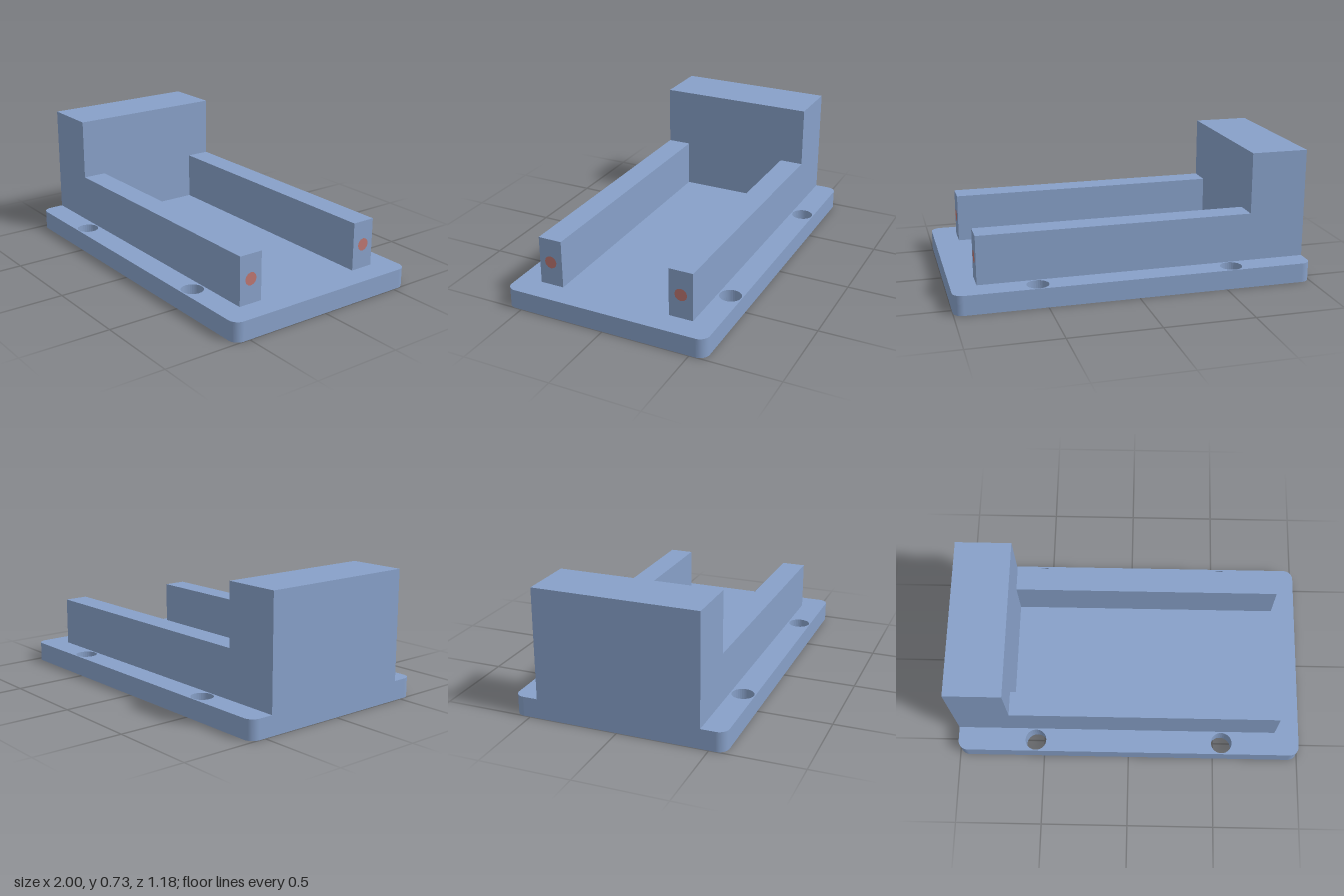
import * as THREE from 'three';

const blue = new THREE.MeshStandardMaterial({ name: 'steel blue', color: 0x87a0c8 });
const red = new THREE.MeshStandardMaterial({ name: 'dull red', color: 0xbb7570 });

function box(name, x0, x1, y0, y1, z0, z1) {
  const mesh = new THREE.Mesh(new THREE.BoxGeometry(x1 - x0, y1 - y0, z1 - z0), blue);
  mesh.position.set((x0 + x1) / 2, (y0 + y1) / 2, (z0 + z1) / 2);
  mesh.name = name;
  return mesh;
}

// Rounded plate with four mounting holes
function basePlate(halfX, halfZ, height, r) {
  const s = new THREE.Shape();
  s.absarc(halfX - r, halfZ - r, r, 0, Math.PI / 2);
  s.absarc(-halfX + r, halfZ - r, r, Math.PI / 2, Math.PI);
  s.absarc(-halfX + r, -halfZ + r, r, Math.PI, Math.PI * 1.5);
  s.absarc(halfX - r, -halfZ + r, r, Math.PI * 1.5, Math.PI * 2);
  s.closePath();
  for (const x of [-0.545, 0.545]) {
    for (const z of [-0.523, 0.523]) {
      s.holes.push(new THREE.Path().absarc(x, z, 0.061, 0, Math.PI * 2, true));
    }
  }
  const geo = new THREE.ExtrudeGeometry(s, { depth: height, bevelEnabled: false, curveSegments: 16 });
  geo.rotateX(-Math.PI / 2);
  const mesh = new THREE.Mesh(geo, blue);
  mesh.name = 'basePlate';
  return mesh;
}

export function createModel() {
  const model = new THREE.Group();
  model.name = 'slideBracket';
  model.add(basePlate(1, 0.59, 0.11, 0.055));

  // Tall end block
  model.add(box('endBlock', -1, -0.68, 0.11, 0.728, -0.455, 0.455));

  // Side rails with a round mark on each free end
  for (const [side, sign] of [['left', -1], ['right', 1]]) {
    const z0 = sign * 0.318, z1 = sign * 0.455;
    model.add(box(side + 'Rail', -0.68, 0.86, 0.11, 0.383, Math.min(z0, z1), Math.max(z0, z1)));
    const mark = new THREE.Mesh(new THREE.CircleGeometry(0.036, 12), red);
    mark.rotation.y = Math.PI / 2;
    mark.position.set(0.862, 0.247, sign * 0.387);
    mark.name = side + 'RailEndMark';
    model.add(mark);
  }
  return model;
}
